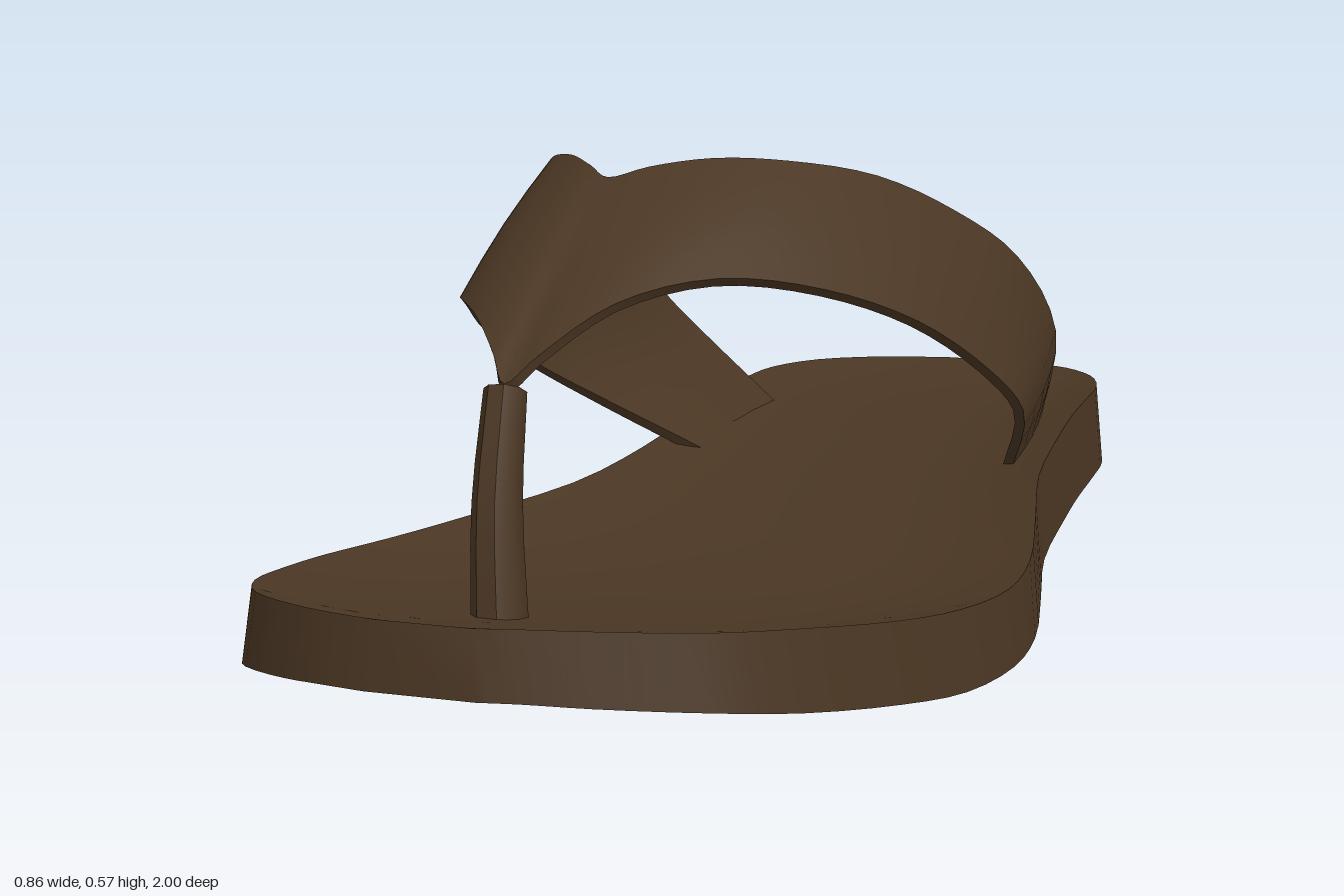
import * as THREE from 'three';
import { toCreasedNormals } from 'three/addons/utils/BufferGeometryUtils.js';

// Smooth curve through a list of [x, y, z] points
const curve = (pts) => new THREE.CatmullRomCurve3(pts.map((p) => new THREE.Vector3(...p)));

// Closed solid through equal-length loops of Vector3, with capped ends
function loft(rows, crease) {
  const n = rows[0].length, index = [];
  for (let i = 0; i < rows.length - 1; i++) {
    for (let k = 0; k < n; k++) {
      const a = i * n + k, b = i * n + (k + 1) % n;
      index.push(a, a + n, b, b, a + n, b + n);
    }
  }
  const end = (rows.length - 1) * n;
  for (let k = 1; k < n - 1; k++) {
    index.push(0, k, k + 1, end, end + k + 1, end + k);
  }
  const geo = new THREE.BufferGeometry().setFromPoints(rows.flat());
  geo.setIndex(index);
  return toCreasedNormals(geo, crease);
}

// Sole sections: z, left x, right x, top y, bottom y
const SOLE = [
  [-1, -0.035, 0.09, 0.125, 0.008], [-0.985, -0.1, 0.145, 0.125, 0.008],
  [-0.96, -0.155, 0.195, 0.126, 0.007], [-0.9, -0.235, 0.247, 0.127, 0.006],
  [-0.8, -0.282, 0.28, 0.129, 0.004], [-0.69, -0.292, 0.289, 0.13, 0.002],
  [-0.55, -0.286, 0.297, 0.13, 0.001], [-0.4, -0.278, 0.31, 0.127, 0],
  [-0.16, -0.27, 0.337, 0.12, 0], [0.05, -0.292, 0.382, 0.11, 0.001],
  [0.24, -0.367, 0.42, 0.099, 0.001], [0.38, -0.411, 0.428, 0.098, 0.003],
  [0.53, -0.43, 0.408, 0.109, 0.012], [0.66, -0.417, 0.368, 0.125, 0.031],
  [0.8, -0.382, 0.297, 0.146, 0.055], [0.89, -0.332, 0.223, 0.158, 0.074],
  [0.955, -0.25, 0.115, 0.167, 0.087], [0.985, -0.19, 0.045, 0.171, 0.094],
  [1, -0.13, 0, 0.172, 0.096],
];

function soleGeometry() {
  const inset = 0.009, rake = 0.986, dish = 0.036, across = 12;
  const rails = [
    SOLE.map(([z, l, , top]) => [l + inset, top, z * rake]),
    SOLE.map(([z, , r, top]) => [r - inset, top, z * rake]),
    SOLE.map(([z, , r, , bottom]) => [r, bottom, z]),
    SOLE.map(([z, l, , , bottom]) => [l, bottom, z]),
  ].map(curve);
  const steps = (SOLE.length - 1) * 3;
  const rows = Array.from({ length: steps + 1 }, (_, i) => {
    const [topL, topR, botR, botL] = rails.map((rail) => rail.getPoint(i / steps));
    const loop = [];
    // Footbed sinks gently between its rims
    for (let j = 0; j <= across; j++) {
      const s = Math.abs(2 * j / across - 1);
      const p = topL.clone().lerp(topR, j / across);
      p.y -= dish * (1 - s ** 3) * (1 - (p.z / rake) ** 8);
      loop.push(p);
    }
    return [...loop, botR, botL];
  });
  return loft(rows, 0.8);
}

// Strap edges, from the right foot over the toe to the left foot
const FRONT_EDGE = [
  [-0.2, 0.085, -0.26], [-0.312, 0.183, -0.13], [-0.375, 0.265, 0], [-0.385, 0.33, 0.115],
  [-0.36, 0.382, 0.225], [-0.315, 0.411, 0.34], [-0.24, 0.409, 0.455], [-0.18, 0.38, 0.54],
  [-0.148, 0.352, 0.58],
  [-0.122, 0.38, 0.54], [-0.065, 0.43, 0.43], [0.02, 0.446, 0.3], [0.12, 0.418, 0.17],
  [0.21, 0.363, 0.05], [0.277, 0.285, -0.06], [0.308, 0.215, -0.14], [0.252, 0.085, -0.3],
];
const REAR_EDGE = [
  [-0.212, 0.09, -0.61], [-0.338, 0.27, -0.475], [-0.377, 0.4, -0.32], [-0.378, 0.477, -0.18],
  [-0.358, 0.527, -0.06], [-0.31, 0.562, 0.04], [-0.26, 0.571, 0.095], [-0.21, 0.564, 0.15],
  [-0.175, 0.553, 0.178],
  [-0.13, 0.565, 0.145], [-0.06, 0.573, 0.09], [0.02, 0.565, 0.02], [0.11, 0.535, -0.1],
  [0.19, 0.477, -0.21], [0.25, 0.4, -0.33], [0.275, 0.27, -0.475], [0.215, 0.09, -0.635],
];

function strapGeometry() {
  const front = curve(FRONT_EDGE), rear = curve(REAR_EDGE);
  const steps = 64, across = 4, thickness = 0.014, crown = 0.005, rows = [];
  for (let i = 0; i <= steps; i++) {
    const u = i / steps;
    const a = front.getPoint(u), b = rear.getPoint(u);
    const along = front.getTangent(u).add(rear.getTangent(u));
    const normal = along.cross(b.clone().sub(a)).normalize();
    const outer = [], inner = [];
    for (let j = 0; j <= across; j++) {
      const v = j / across;
      const p = a.clone().lerp(b, v).addScaledVector(normal, crown * Math.sin(Math.PI * v));
      outer.push(p);
      inner.unshift(p.clone().addScaledVector(normal, -thickness));
    }
    rows.push([...outer, ...inner]);
  }
  return loft(rows, 0.8);
}

// Bent octagonal post, tapering towards its top
function postGeometry() {
  const path = curve([[-0.116, 0.07, 0.676], [-0.134, 0.22, 0.638], [-0.146, 0.345, 0.582]]);
  const rows = [];
  for (let i = 0; i <= 6; i++) {
    const t = i / 6, c = path.getPoint(t), dir = path.getTangent(t);
    const side = new THREE.Vector3(1, 0, 0).addScaledVector(dir, -dir.x).normalize();
    const forward = dir.clone().cross(side);
    const radius = 0.033 - 0.008 * t;
    rows.push(Array.from({ length: 8 }, (_, k) => {
      const angle = -(k + 0.5) * Math.PI / 4;
      return c.clone()
        .addScaledVector(side, radius * Math.cos(angle))
        .addScaledVector(forward, radius * 1.25 * Math.sin(angle));
    }));
  }
  return loft(rows, 0.7);
}

export function createModel() {
  const group = new THREE.Group();
  const brown = new THREE.MeshStandardMaterial({ color: 0x4a3623 });
  brown.name = 'brown leather';
  const add = (name, geo) => {
    const mesh = new THREE.Mesh(geo, brown);
    mesh.name = name;
    group.add(mesh);
  };

  // Dished footbed with slightly tapered walls and a raised toe
  add('sole', soleGeometry());
  // V-shaped band over the foot
  add('strap', strapGeometry());
  // Post between the toes
  add('toePost', postGeometry());

  return group;
}
